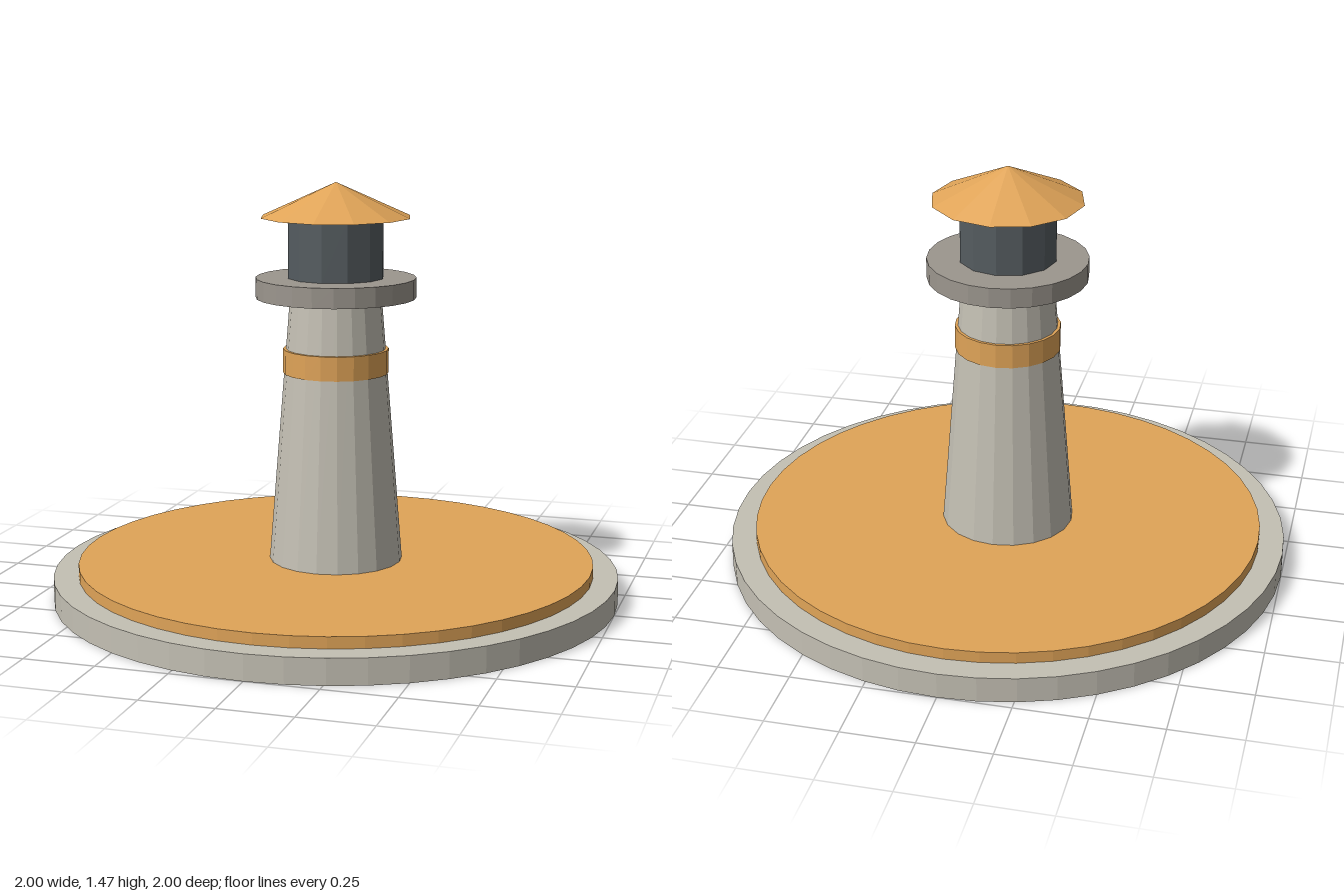
import * as THREE from 'three';

const STONE = 0xc4c0b4, ORANGE = 0xe0a458, GREY = 0x9c968e, GLASS = 0x555c60;

export function createModel() {
  const model = new THREE.Group();
  model.name = 'lighthouse';

  // Adds one round, flat-shaded section standing between two heights
  function section(name, color, bottomRadius, topRadius, y0, y1, sides) {
    const geometry = topRadius === 0
      ? new THREE.ConeGeometry(bottomRadius, y1 - y0, sides)
      : new THREE.CylinderGeometry(topRadius, bottomRadius, y1 - y0, sides);
    const mesh = new THREE.Mesh(geometry, new THREE.MeshStandardMaterial({ color, flatShading: true }));
    mesh.name = name;
    mesh.position.y = (y0 + y1) / 2;
    model.add(mesh);
  }

  // Stepped base
  section('basePlate', STONE, 1, 1, 0, 0.09, 48);
  section('baseInlay', ORANGE, 0.912, 0.912, 0.09, 0.13, 48);

  // Tapered tower with its painted band
  section('tower', STONE, 0.235, 0.16, 0.13, 1.065, 20);
  section('towerBand', ORANGE, 0.185, 0.185, 0.8, 0.885, 20);

  // Gallery, lantern room and pointed roof
  section('gallery', GREY, 0.28, 0.28, 1.065, 1.135, 24);
  section('lanternRoom', GLASS, 0.17, 0.17, 1.135, 1.345, 12);
  section('roof', ORANGE, 0.265, 0, 1.345, 1.465, 12);

  return model;
}
